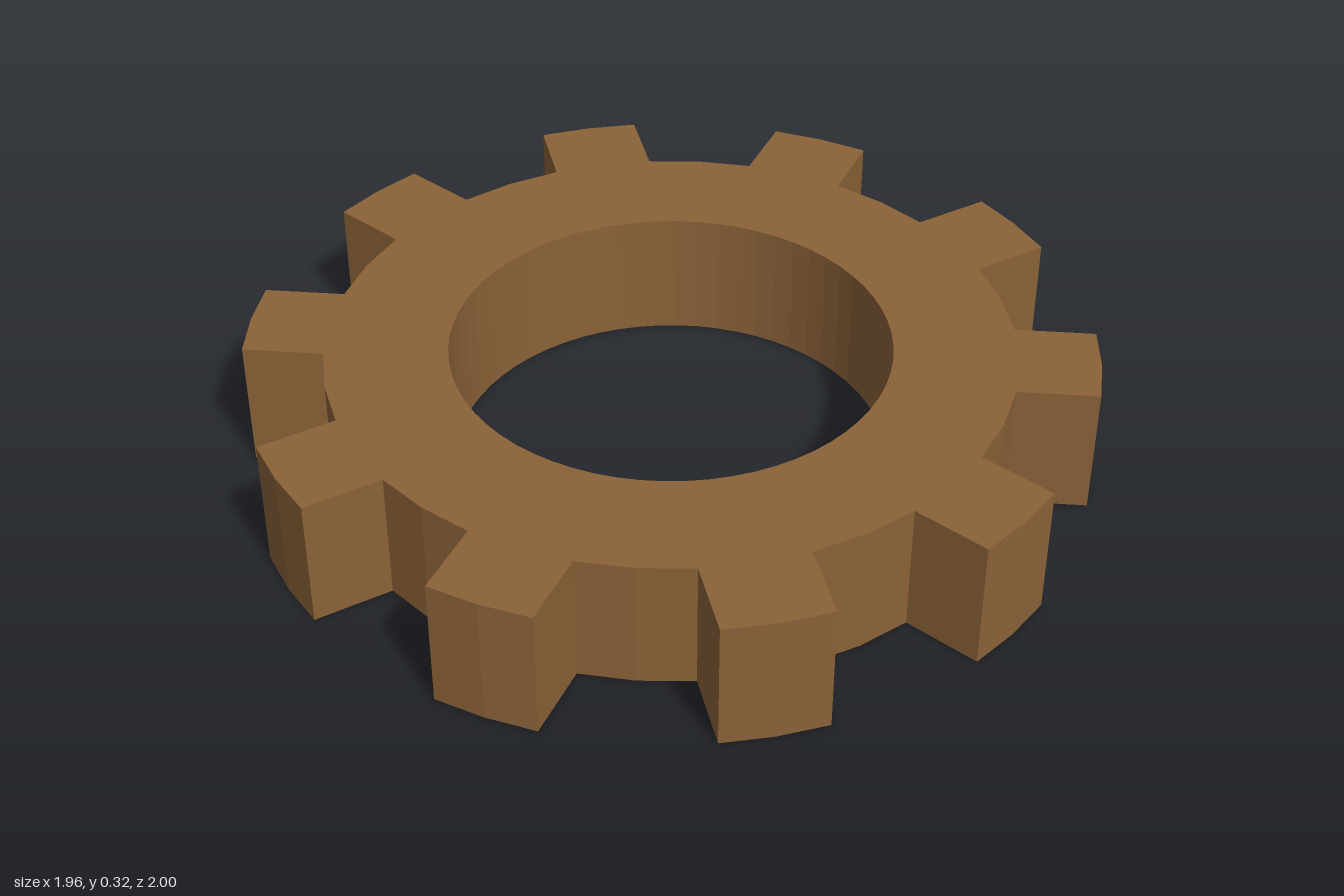
import * as THREE from 'three';

const TEETH = 10, TIP_R = 1, ROOT_R = 0.81, HOLE_R = 0.52, HALF_TOOTH = 0.123, HEIGHT = 0.32;

// Outline: parallel-sided teeth, each tip and root arc made of two facets
function gearOutline() {
  const points = [];
  const add = (r, a) => points.push(new THREE.Vector2(r * Math.cos(a), r * Math.sin(a)));
  const step = (Math.PI * 2) / TEETH;
  const tip = Math.asin(HALF_TOOTH / TIP_R);
  const root = Math.asin(HALF_TOOTH / ROOT_R);
  for (let i = 0; i < TEETH; i++) {
    const a = Math.PI / 2 + i * step;
    add(ROOT_R, a - root);
    add(TIP_R, a - tip);
    add(TIP_R, a);
    add(TIP_R, a + tip);
    add(ROOT_R, a + root);
    add(ROOT_R, a + step / 2);
  }
  return new THREE.Shape(points);
}

export function createModel() {
  const group = new THREE.Group();
  group.name = 'gear';

  // Toothed ring with a round bore, laid flat on the ground
  const shape = gearOutline();
  shape.holes.push(new THREE.Path().absarc(0, 0, HOLE_R, 0, Math.PI * 2, true));
  const geometry = new THREE.ExtrudeGeometry(shape, { depth: HEIGHT, bevelEnabled: false, curveSegments: 32 });
  geometry.rotateX(-Math.PI / 2);

  const ring = new THREE.Mesh(geometry, new THREE.MeshStandardMaterial({ color: 0x8b6238 }));
  ring.name = 'toothedRing';
  group.add(ring);
  return group;
}
